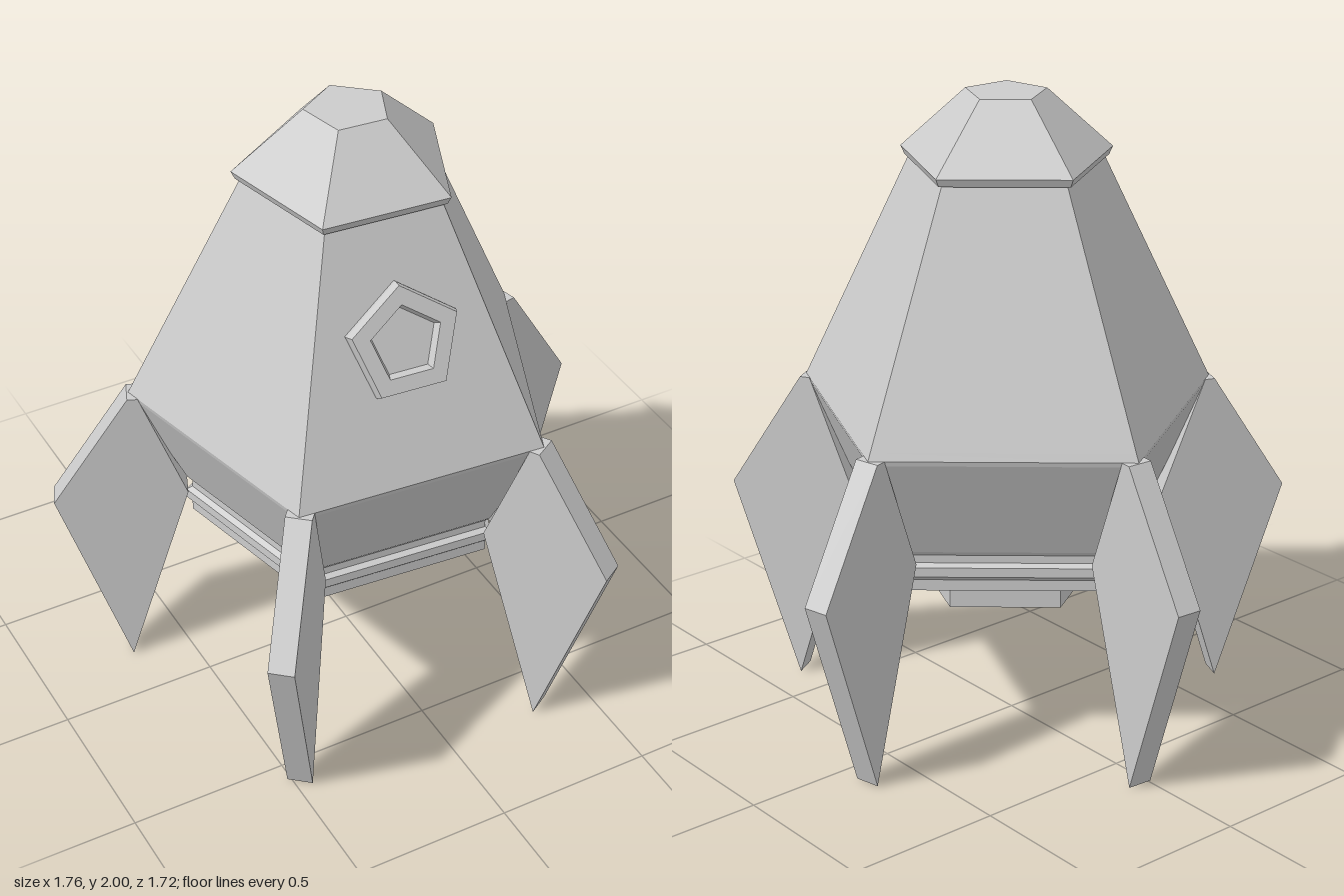
import * as THREE from 'three';

const SIDES = 5;

function material() {
  return new THREE.MeshStandardMaterial({ color: 0xcccccc, flatShading: true });
}

// Five-sided solid from a [radius, height] profile, one corner at the back
function pentagonal(name, profile) {
  const points = profile.map(([r, y]) => new THREE.Vector2(r, y));
  const mesh = new THREE.Mesh(new THREE.LatheGeometry(points, SIDES, Math.PI), material());
  mesh.name = name;
  return mesh;
}

export function createModel() {
  const model = new THREE.Group();
  model.name = 'rocket';

  const ship = new THREE.Group();
  ship.name = 'ship';
  ship.position.set(-0.025, 0, 0.055);
  ship.rotation.y = -0.082;
  model.add(ship);

  // Hull with its belt edge and stepped base
  ship.add(pentagonal('hull', [
    [0, 0.56], [0.487, 0.56], [0.487, 0.595], [0.505, 0.61], [0.505, 0.64],
    [0.485, 0.65], [0.485, 0.675], [0.5, 0.69], [0.663, 1.02], [0.667, 1.035],
    [0.655, 1.06], [0.31, 1.78], [0, 1.78],
  ]));

  // Overhanging nose cap
  ship.add(pentagonal('noseCap', [
    [0, 1.78], [0.325, 1.78], [0.337, 1.805], [0.128, 2], [0, 2],
  ]));

  // Hollow engine nozzle on a narrow neck
  ship.add(pentagonal('engineNozzle', [
    [0, 0.49], [0.18, 0.49], [0.2, 0.43], [0.29, 0.43], [0.29, 0.535],
    [0.26, 0.545], [0.26, 0.57],
  ]));

  // Raised window frame with a recessed pane, lying on the sloped front face
  const porthole = pentagonal('window', [
    [0.18, -0.01], [0.18, 0.008], [0.172, 0.03], [0.115, 0.03], [0.103, 0.008], [0, 0.008],
  ]);
  porthole.position.set(0, 1.44, 0.388);
  porthole.rotation.x = Math.PI / 2 - 0.37;
  ship.add(porthole);

  // One fin on each corner of the hull
  const thickness = 0.08;
  const outline = new THREE.Shape([
    [0.5, 0.66], [0.7, 0], [0.915, 0.65], [0.672, 1.035], [0.64, 1.035],
  ].map(([r, y]) => new THREE.Vector2(r, y)));
  const finGeometry = new THREE.ExtrudeGeometry(outline, { depth: thickness, bevelEnabled: false });
  finGeometry.translate(0, 0, -thickness / 2);
  for (let i = 0; i < SIDES; i++) {
    const fin = new THREE.Mesh(finGeometry, material());
    fin.name = `fin${i + 1}`;
    fin.rotation.y = Math.PI / 2 + (i * 2 * Math.PI) / SIDES;
    ship.add(fin);
  }

  return model;
}
